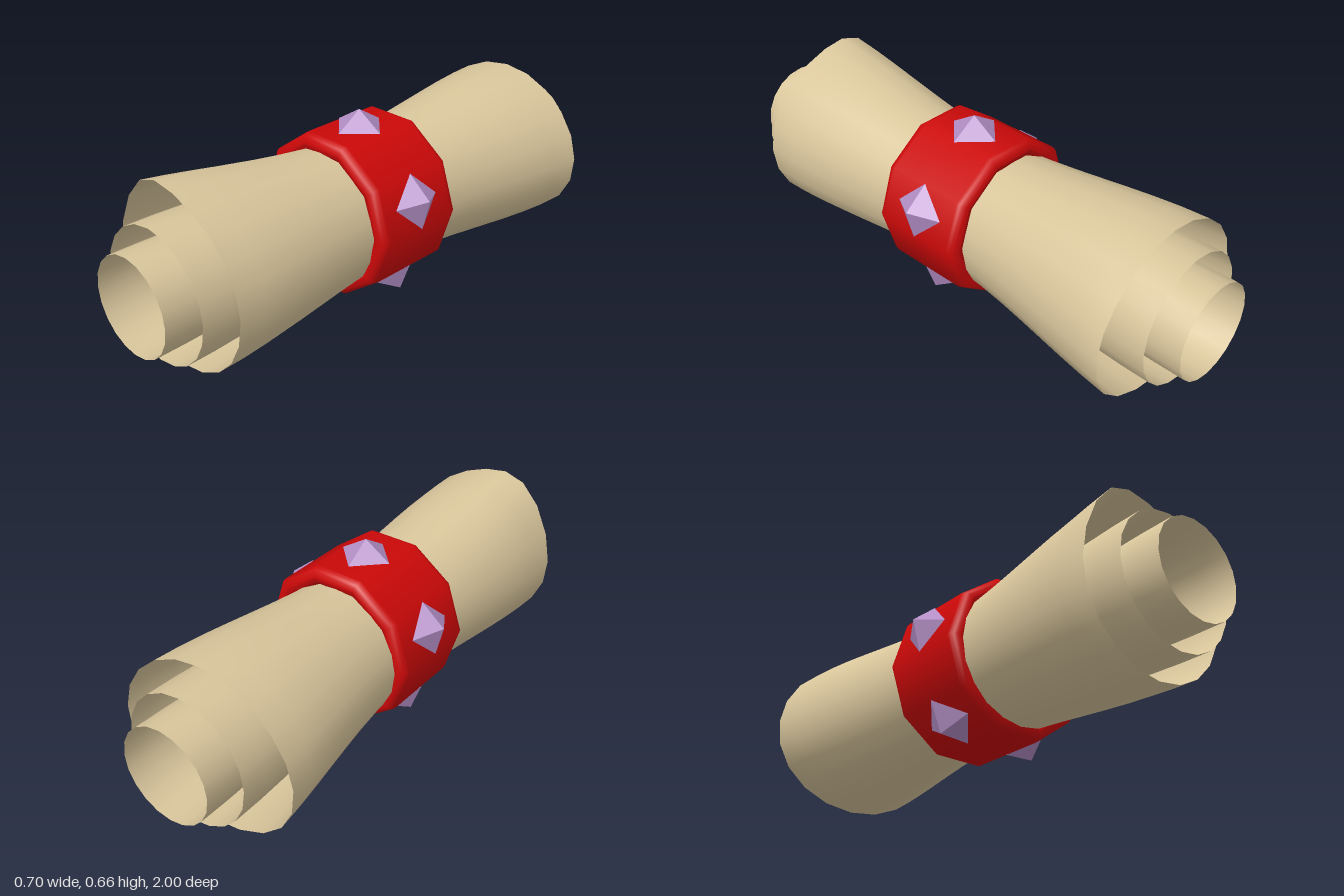
import * as THREE from 'three';
import { mergeVertices } from 'three/addons/utils/BufferGeometryUtils.js';

const paper = new THREE.MeshStandardMaterial({ color: 0xd8c59b, side: THREE.DoubleSide });
const red = new THREE.MeshStandardMaterial({ color: 0xcc0808 });
const violet = new THREE.MeshStandardMaterial({ color: 0xb48fc6, flatShading: true });

// Open paper tube along z, narrow at the waist and wider at both ends
function paperTube(name, half, waist, end, bend) {
  const raw = new THREE.CylinderGeometry(1, 1, 2 * half, 20, 16, true);
  raw.rotateX(Math.PI / 2);
  raw.deleteAttribute('uv');
  raw.deleteAttribute('normal');
  const geo = mergeVertices(raw, 1e-4);
  const p = geo.attributes.position;
  for (let i = 0; i < p.count; i++) {
    const z = p.getZ(i), t = Math.abs(z) / half;
    const a = Math.atan2(p.getY(i), p.getX(i));
    const r = waist + (end - waist) * t * t * (3 - 2 * t);
    const [dx, dy] = bend ? bend(a, z, t * t) : [0, 0];
    p.setXYZ(i, r * Math.cos(a) + dx, r * Math.sin(a) + dy, z);
  }
  geo.computeVertexNormals();
  const mesh = new THREE.Mesh(geo, paper);
  mesh.name = name;
  mesh.position.set(-0.007, 0.302, 0);
  return mesh;
}

// Outer sheet: lifted at the upper left in front, spread sideways at the back
function curl(a, z, w) {
  if (z > 0) {
    let d = Math.abs(a * 180 / Math.PI - 128);
    d = Math.min(d, 360 - d);
    const k = w * Math.exp(-((d / 38) ** 2));
    return [0.018 * k, 0.07 * k];
  }
  return [w * 0.05 * Math.cos(a) * (1 - 0.5 * Math.sin(a)), 0];
}

export function createModel() {
  const group = new THREE.Group();
  group.add(
    paperTube('innerPaper', 1, 0.142, 0.174),
    paperTube('middlePaper', 0.91, 0.193, 0.237),
    paperTube('outerPaper', 0.82, 0.243, 0.301, curl)
  );

  // Ten-sided band with rounded rims, and its gems
  const band = new THREE.Group();
  band.name = 'band';
  band.position.set(0, 0.314, 0.02);
  group.add(band);

  const ri = 0.232, ro = 0.3, h = 0.185, c = 0.033;
  const profile = [new THREE.Vector2(ri, 0)];
  const corner = (cx, cy, from) => {
    for (let i = 0; i <= 4; i++) {
      const a = from + i * Math.PI / 8;
      profile.push(new THREE.Vector2(cx + c * Math.cos(a), cy + c * Math.sin(a)));
    }
  };
  corner(ri + c, -h + c, Math.PI);
  corner(ro - c, -h + c, -Math.PI / 2);
  corner(ro - c, h - c, 0);
  corner(ri + c, h - c, Math.PI / 2);
  profile.push(new THREE.Vector2(ri, 0));
  const ringGeo = new THREE.LatheGeometry(profile, 10, Math.PI / 2);
  ringGeo.rotateX(Math.PI / 2);
  const ring = new THREE.Mesh(ringGeo, red);
  ring.name = 'bandRing';
  band.add(ring);

  // Five pyramid gems on alternate faces
  const gemGeo = new THREE.ConeGeometry(0.1, 0.064, 4);
  gemGeo.translate(0, 0.317, 0);
  for (let i = 0; i < 5; i++) {
    const gem = new THREE.Mesh(gemGeo, violet);
    gem.name = 'gem' + (i + 1);
    gem.rotation.z = i * Math.PI * 2 / 5;
    band.add(gem);
  }
  return group;
}
